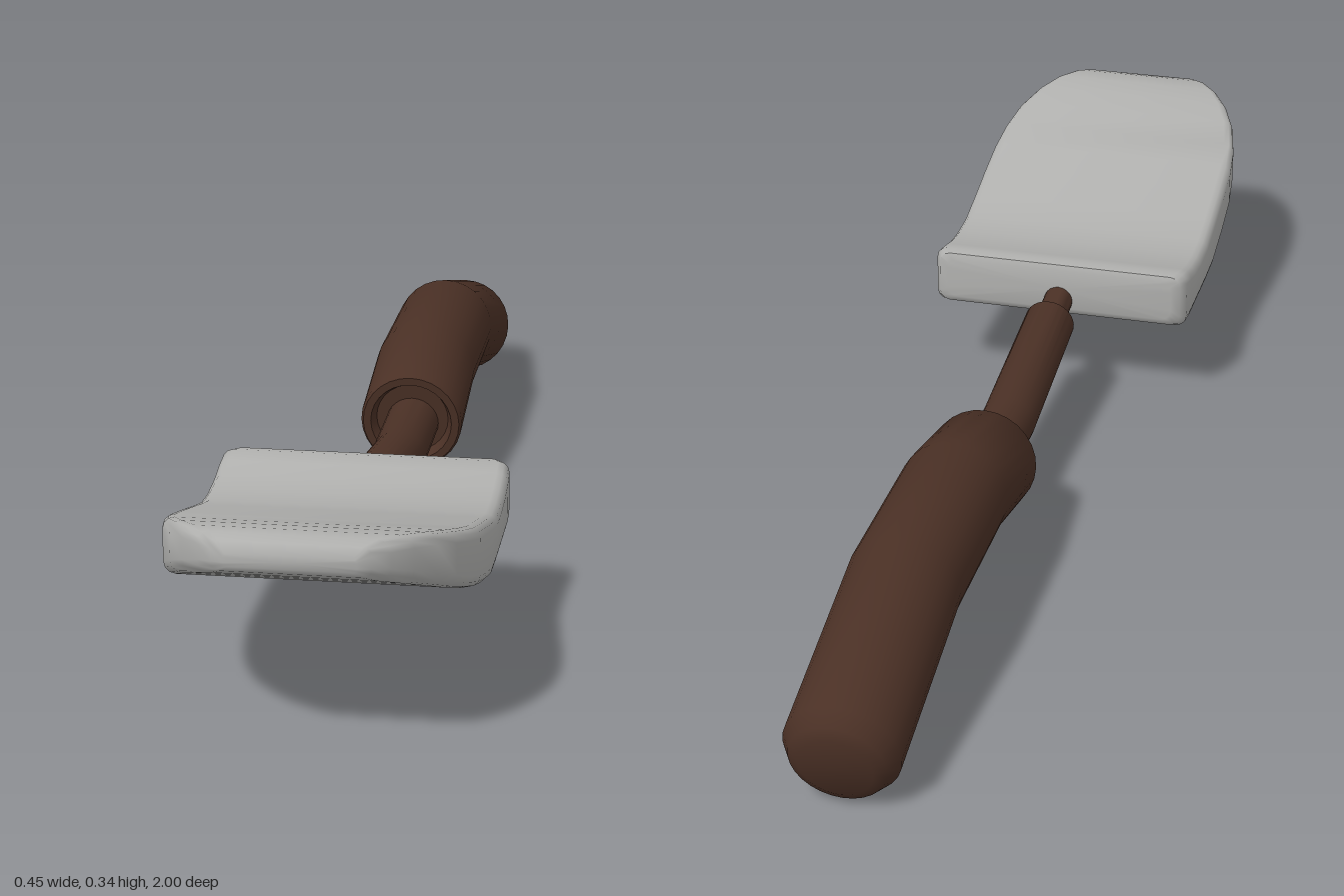
import * as THREE from 'three';
import { toCreasedNormals } from 'three/addons/utils/BufferGeometryUtils.js';

// Closed skin over cross-sections ordered from back (-z) to front (+z)
function loft(rings, crease) {
  const n = rings[0].length, pos = [], idx = [];
  const push = (p) => pos.push(p.x, p.y, p.z) / 3 - 1;
  rings.forEach((ring) => ring.forEach(push));
  for (let i = 0; i < rings.length - 1; i++) {
    for (let j = 0; j < n; j++) {
      const k = (j + 1) % n, a = i * n, b = a + n;
      idx.push(a + j, a + k, b + k, a + j, b + k, b + j);
    }
  }
  const centre = (ring) => ring.reduce((s, p) => s.add(p), new THREE.Vector3()).divideScalar(n);
  const c0 = push(centre(rings[0])), c1 = push(centre(rings[rings.length - 1]));
  const last = (rings.length - 1) * n;
  for (let j = 0; j < n; j++) {
    const k = (j + 1) % n;
    idx.push(c0, k, j, c1, last + j, last + k);
  }
  const g = new THREE.BufferGeometry();
  g.setAttribute('position', new THREE.Float32BufferAttribute(pos, 3));
  g.setIndex(idx);
  return toCreasedNormals(g, crease);
}

// Circle at (z, y) of radius r, leaning by tilt
function circle([z, y, r, tilt], sides = 28) {
  return Array.from({ length: sides }, (_, j) => {
    const t = (j / sides) * Math.PI * 2, up = r * Math.sin(t);
    return new THREE.Vector3(r * Math.cos(t), y + up * Math.cos(tilt), z + up * Math.sin(tilt));
  });
}

// Rectangle with softened corners, leaning by lean (z shift of the top)
function slab([z, w, y0, y1, lean = 0]) {
  const h = (y1 - y0) / 2, cy = (y0 + y1) / 2, b = Math.min(0.018, h * 0.6), pts = [];
  [[1, 1], [-1, 1], [-1, -1], [1, -1]].forEach(([sx, sy], q) => {
    for (let s = 0; s <= 3; s++) {
      const t = (q + s / 3) * Math.PI / 2;
      const dy = sy * (h - b) + b * Math.sin(t);
      pts.push(new THREE.Vector3(sx * (w - b) + b * Math.cos(t), cy + dy, z + lean * dy / h));
    }
  });
  return pts;
}

export function createModel() {
  const group = new THREE.Group();
  const brown = new THREE.MeshStandardMaterial({ color: 0x4a3025 });
  brown.name = 'dark wood brown';
  const grey = new THREE.MeshStandardMaterial({ color: 0xb0b0ae });
  grey.name = 'steel grey';
  const add = (name, rings, material, crease = 0.65) => {
    const mesh = new THREE.Mesh(loft(rings, crease), material);
    mesh.name = name;
    group.add(mesh);
  };

  // Curved grip: domed back end, shallow recess at the front
  add('grip', [
    [-0.986, 0.077, 0.055, -0.24], [-0.977, 0.079, 0.072, -0.24], [-0.953, 0.085, 0.087, -0.24],
    [-0.64, 0.17, 0.087, -0.12], [-0.37, 0.17, 0.087, 0.1],
    [-0.188, 0.13, 0.087, 0.12], [-0.182, 0.129, 0.083, 0.12],
    [-0.182, 0.129, 0.07, 0.12], [-0.2, 0.132, 0.062, 0.12],
  ].map((r) => circle(r)), brown);

  // Bent shaft
  add('shaft', [
    [-0.24, 0.125, 0.045, 0.04], [-0.03, 0.118, 0.045, -0.06],
    [0.255, 0.163, 0.043, -0.15], [0.26, 0.164, 0.039, -0.15],
  ].map((r) => circle(r)), brown);

  // Thin neck joining shaft and blade
  add('neck', [[0.24, 0.163, 0.025, -0.13], [0.37, 0.183, 0.025, -0.13]].map((r) => circle(r, 20)), brown);

  // Scooped blade: z, half width, bottom, top, lean
  add('blade', [
    [0.318, 0.2, 0.16, 0.232], [0.322, 0.215, 0.15, 0.241], [0.338, 0.224, 0.143, 0.243],
    [0.37, 0.225, 0.14, 0.236], [0.41, 0.225, 0.14, 0.226], [0.46, 0.225, 0.14, 0.221],
    [0.52, 0.225, 0.14, 0.223], [0.58, 0.225, 0.143, 0.238], [0.66, 0.225, 0.165, 0.26],
    [0.73, 0.224, 0.187, 0.279], [0.79, 0.218, 0.208, 0.297], [0.85, 0.205, 0.231, 0.315],
    [0.9, 0.184, 0.252, 0.329], [0.94, 0.159, 0.269, 0.338], [0.97, 0.132, 0.282, 0.341],
    [0.99, 0.109, 0.293, 0.336], [1, 0.09, 0.303, 0.322],
  ].map(slab), grey, 0.9);

  return group;
}
